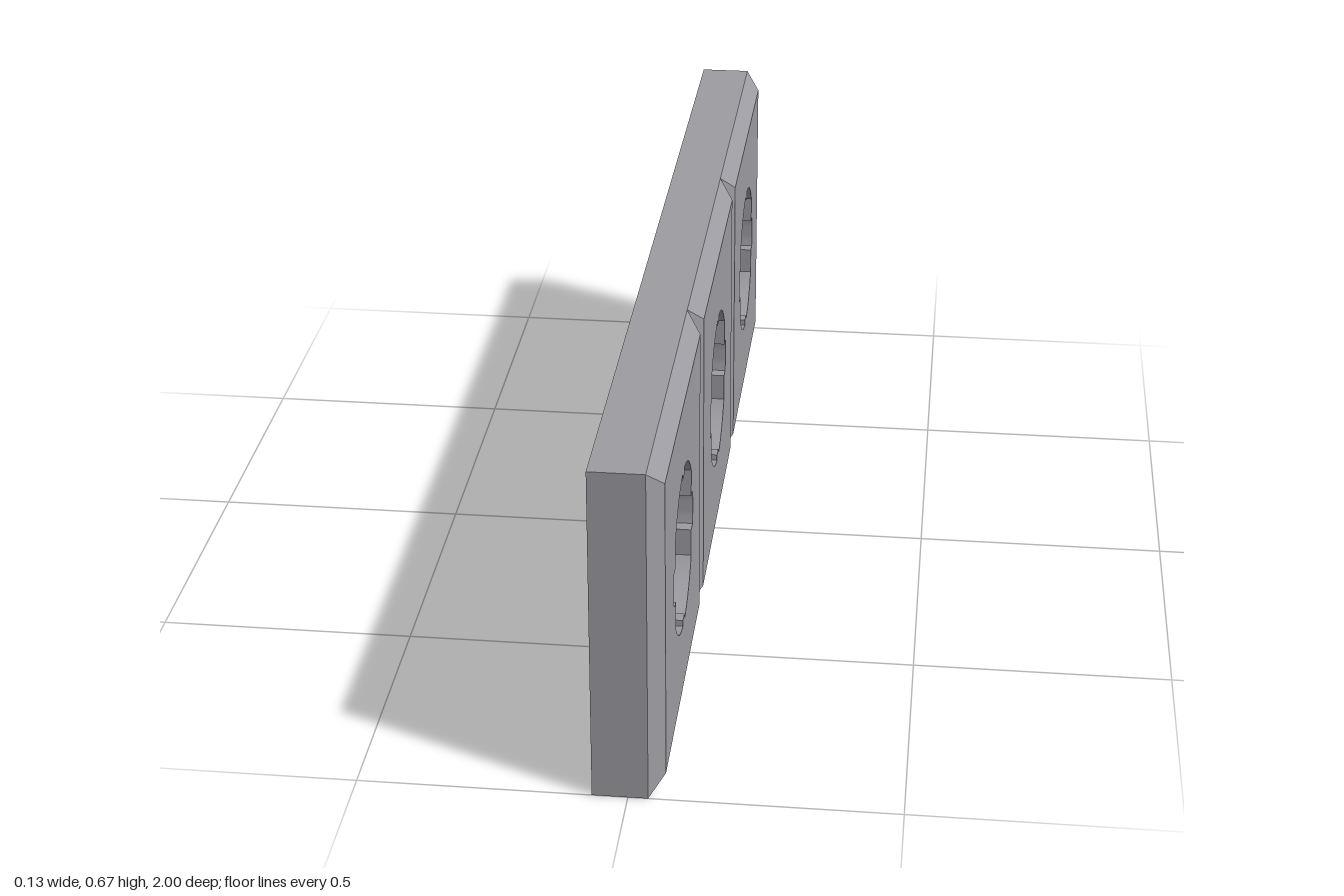
import * as THREE from 'three';
import { toCreasedNormals } from 'three/addons/utils/BufferGeometryUtils.js';

const HALF = 1 / 3;                 // half the side of one square socket
const FACE = 0.299;                 // half the side of the flat front face
const BACK = -0.066, PIN_END = -0.04, FLOOR = 0.02, SHOULDER = 0.037, FRONT = 0.066;
const R = 0.163;                    // well radius

// Outline of the round well, with side tabs and the small top and bottom keys
function wellPoints() {
  const tabU = 0.134, tabV = 0.037, keyU = 0.013, keyV = 0.15;
  const arc = (a, b, n) => Array.from({ length: n + 1 }, (_, i) => {
    const t = a + (b - a) * i / n;
    return [R * Math.cos(t), R * Math.sin(t)];
  });
  const quarter = [
    ...arc(0.06, Math.asin(tabV / R), 2),
    [tabU, tabV],
    ...arc(Math.acos(tabU / R), Math.acos(keyU / R), 10),
    [keyU, keyV],
  ];
  const mirror = (pts, su, sv) => pts.map(([u, v]) => [u * su, v * sv]);
  const back = [...quarter].reverse();
  return [
    ...quarter, ...mirror(back, -1, 1), ...mirror(quarter, -1, -1), ...mirror(back, 1, -1),
  ].map(([u, v]) => new THREE.Vector2(u, v));
}

// Turn an extrusion so that its depth runs along +x
function finish(geometry) {
  geometry.rotateY(Math.PI / 2);
  return toCreasedNormals(geometry, 0.4);
}

// Square frame with a well through it and a chamfered front edge
function housingGeometry() {
  const shape = new THREE.Shape([[-1, -1], [1, -1], [1, 1], [-1, 1]]
    .map(([u, v]) => new THREE.Vector2(u * HALF, v * HALF)));
  shape.holes.push(new THREE.Path(wellPoints()));
  const geometry = new THREE.ExtrudeGeometry(shape, { depth: 2, steps: 2, bevelEnabled: false });
  const p = geometry.attributes.position;
  const levels = [PIN_END, SHOULDER, FRONT];
  for (let i = 0; i < p.count; i++) {
    const level = Math.round(p.getZ(i));
    const outer = Math.abs(p.getX(i)) > 0.3;
    const k = level === 2 && outer ? FACE / HALF : 1;
    p.setXYZ(i, p.getX(i) * k, p.getY(i) * k, levels[level]);
  }
  return finish(geometry);
}

// Well floor with two blind pin holes
function floorGeometry() {
  const shape = new THREE.Shape(wellPoints());
  for (const s of [-1, 1]) {
    shape.holes.push(new THREE.Path().absarc(s * 0.078, 0, 0.025, 0, Math.PI * 2, true));
  }
  const geometry = new THREE.ExtrudeGeometry(shape, {
    depth: FLOOR - PIN_END, bevelEnabled: false, curveSegments: 24,
  });
  geometry.translate(0, 0, PIN_END);
  return finish(geometry);
}

export function createModel() {
  const plastic = new THREE.MeshStandardMaterial({ color: 0x9c9ca2 });
  plastic.name = 'grey plastic';
  const model = new THREE.Group();
  model.name = 'tripleSocket';

  const add = (parent, name, geometry) => {
    const mesh = new THREE.Mesh(geometry, plastic);
    mesh.name = name;
    parent.add(mesh);
    return mesh;
  };

  // Back plate shared by all sockets
  const plate = add(model, 'backPlate', new THREE.BoxGeometry(PIN_END - BACK, HALF * 2, 2));
  plate.position.set((BACK + PIN_END) / 2, HALF, 0);

  // Three equal sockets in a row
  const housing = housingGeometry();
  const floor = floorGeometry();
  for (let i = -1; i <= 1; i++) {
    const socket = new THREE.Group();
    socket.name = `socket${i + 2}`;
    socket.position.set(0, HALF, i * HALF * 2);
    add(socket, 'housing', housing);
    add(socket, 'wellFloor', floor);
    model.add(socket);
  }
  return model;
}
